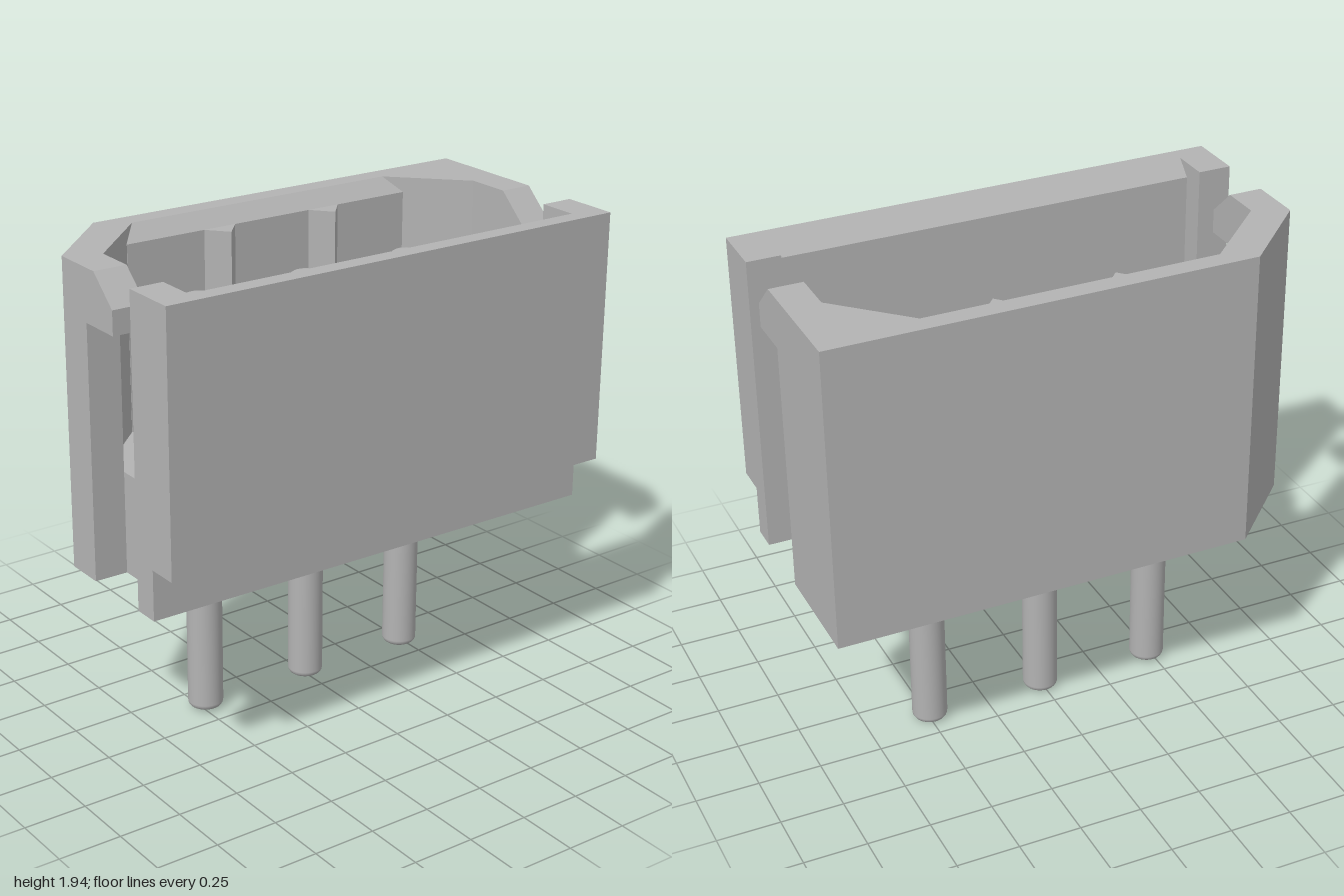
import * as THREE from 'three';

const FLOOR = 1.125, BASE = 0.72, TOP = 1.93, STEP = 0.92;
const OUT = 0.994, INN = 0.86;

// Plan outline of [x, z] points raised from y0 to y1
function prism(points, y0, y1) {
  const shape = new THREE.Shape(points.map(([x, z]) => new THREE.Vector2(x, -z)));
  const geo = new THREE.ExtrudeGeometry(shape, { depth: y1 - y0, bevelEnabled: false });
  return geo.rotateX(-Math.PI / 2).translate(0, y0, 0);
}

// Side profile of [z, y] points swept from x0 to x1
function sweep(points, x0, x1) {
  const shape = new THREE.Shape(points.map(([z, y]) => new THREE.Vector2(-z, y)));
  const geo = new THREE.ExtrudeGeometry(shape, { depth: x1 - x0, bevelEnabled: false });
  return geo.rotateY(Math.PI / 2).translate(x0, 0, 0);
}

// Round pin with filleted ends
function pinGeometry(r, y0, y1, fillet) {
  const profile = [new THREE.Vector2(0, y0)];
  for (let i = 0; i <= 4; i++) {
    const a = (i / 4) * Math.PI / 2;
    profile.push(new THREE.Vector2(r - fillet + fillet * Math.sin(a), y0 + fillet - fillet * Math.cos(a)));
  }
  for (let i = 0; i <= 4; i++) {
    const a = (i / 4) * Math.PI / 2;
    profile.push(new THREE.Vector2(r - fillet + fillet * Math.cos(a), y1 - fillet + fillet * Math.sin(a)));
  }
  profile.push(new THREE.Vector2(0, y1));
  return new THREE.LatheGeometry(profile, 32);
}

export function createModel() {
  const grey = new THREE.MeshStandardMaterial({ color: 0xb3b3b3 });
  grey.name = 'grey';
  const model = new THREE.Group();
  model.name = 'pinHeader';
  const add = (name, geo) => {
    const mesh = new THREE.Mesh(geo, grey);
    mesh.name = name;
    model.add(mesh);
    return mesh;
  };

  // Back half of the shroud, with one outer corner cut off
  add('backShell', prism([
    [-OUT, -0.04], [-OUT, -0.2], [-0.69, -0.5], [OUT, -0.5], [OUT, -0.04], [INN, -0.04],
    [INN, -0.16], [0.6, -0.42], [-0.57, -0.42], [-INN, -0.14], [-INN, -0.04],
  ], BASE, TOP));

  // Lead-in slope inside the back wall
  add('backLeadIn', sweep([[-0.42, FLOOR], [-0.36, FLOOR], [-0.36, 1.87], [-0.42, TOP]], -0.63, 0.66));

  // Solid base between the walls
  add('floor', prism([
    [-INN, 0.365], [-INN, -0.14], [-0.57, -0.42], [0.6, -0.42], [INN, -0.16], [INN, 0.365],
  ], BASE, FLOOR));

  // Front wall with short returns, and its lead-in slope
  add('frontWall', prism([
    [-OUT, 0.26], [-OUT, 0.49], [OUT, 0.49], [OUT, 0.26],
    [INN, 0.26], [INN, 0.42], [-INN, 0.42], [-INN, 0.26],
  ], STEP, TOP));
  add('frontLeadIn', sweep([[0.42, STEP], [0.36, STEP], [0.36, 1.87], [0.42, TOP]], -INN, INN));

  // Mirrored lower cheeks and latch hooks
  for (const [side, x0, x1] of [['left', INN, OUT], ['right', -OUT, -INN]]) {
    add(side + 'LowerCheek', sweep([[0.26, BASE], [0.365, BASE], [0.365, STEP], [0.26, STEP]], x0, x1));
    add(side + 'LatchHook', sweep(
      [[-0.04, 1.725], [0.14, 1.725], [0.14, 1.82], [0.02, TOP], [-0.04, TOP]], x0, x1));
  }

  // Keying ribs on the back wall
  for (const x of [-0.22, 0.265]) {
    add('keyRib', prism([[x - 0.07, -0.36], [x, -0.28], [x + 0.07, -0.36]], FLOOR, 1.87));
  }

  // Contact pins
  const pin = pinGeometry(0.07, 0.004, 1.71, 0.025);
  for (const i of [-1, 0, 1]) add('pin', pin).position.set(0.018 + i * 0.485, 0, -0.125);

  // Slight lean of the whole part
  model.rotation.z = -0.008;
  model.position.x = -0.012;
  const root = new THREE.Group();
  root.name = 'model';
  root.add(model);
  return root;
}
